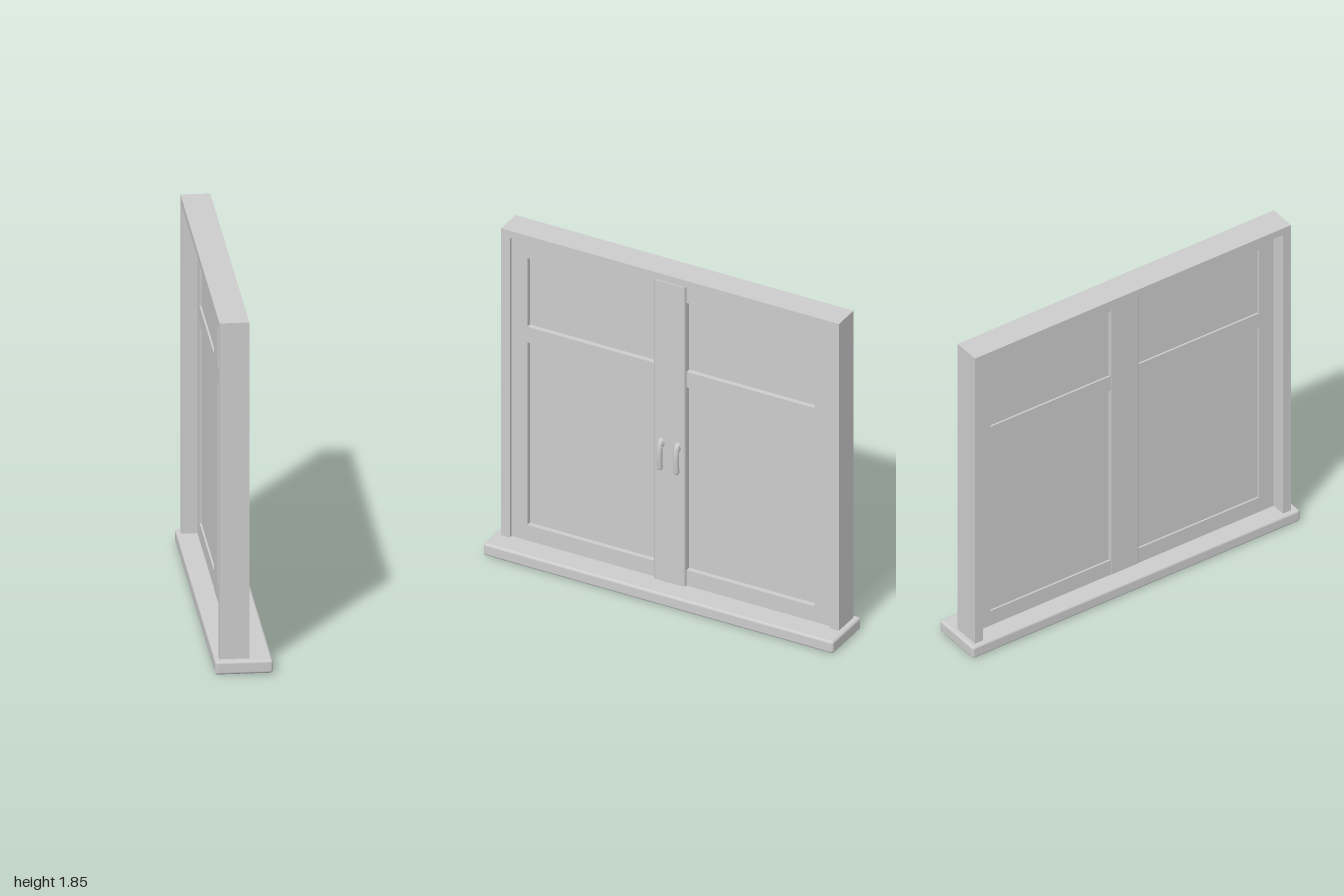
import * as THREE from 'three';
import { RoundedBoxGeometry } from 'three/addons/geometries/RoundedBoxGeometry.js';

const material = new THREE.MeshStandardMaterial({ color: 0xcccccc });

function add(parent, name, geometry) {
  const mesh = new THREE.Mesh(geometry, material);
  mesh.name = name;
  parent.add(mesh);
  return mesh;
}

// Rectangle outline from [zMin, zMax, yMin, yMax]
function rectangle([z0, z1, y0, y1], Type) {
  const path = new Type();
  path.moveTo(-z1, y0);
  path.lineTo(-z0, y0);
  path.lineTo(-z0, y1);
  path.lineTo(-z1, y1);
  path.closePath();
  return path;
}

// Upright slab facing +x with rectangular openings
function slab(outer, holes, x0, x1) {
  const shape = rectangle(outer, THREE.Shape);
  shape.holes = holes.map((h) => rectangle(h, THREE.Path));
  const geometry = new THREE.ExtrudeGeometry(shape, { depth: x1 - x0, bevelEnabled: false });
  return geometry.rotateY(Math.PI / 2).translate(x0, 0, 0);
}

function block([z0, z1, y0, y1], x0, x1, radius) {
  return new RoundedBoxGeometry(x1 - x0, y1 - y0, z1 - z0, 3, radius)
    .translate((x0 + x1) / 2, (y0 + y1) / 2, (z0 + z1) / 2);
}

function createHandle() {
  const handle = new THREE.Group();
  const curve = new THREE.CatmullRomCurve3([
    new THREE.Vector3(0.015, 0.875, 0),
    new THREE.Vector3(0.036, 0.878, 0),
    new THREE.Vector3(0.048, 0.845, 0),
    new THREE.Vector3(0.05, 0.79, 0),
    new THREE.Vector3(0.045, 0.735, 0),
  ]);
  add(handle, 'handleGrip', new THREE.TubeGeometry(curve, 24, 0.015, 12));
  add(handle, 'handleTip', new THREE.SphereGeometry(0.015, 12, 8)).position.set(0.045, 0.735, 0);
  // Flat mounting plate behind the grip
  const plate = add(handle, 'handlePlate', new THREE.SphereGeometry(0.019, 16, 10));
  plate.position.set(0.03, 0.872, 0);
  plate.scale.set(0.5, 1.3, 1);
  return handle;
}

export function createModel() {
  const model = new THREE.Group();
  model.name = 'window';

  // Sill with softened edges
  add(model, 'sill', block([-1, 1, 0, 0.07], -0.145, 0.145, 0.014));

  // Deep outer frame
  add(model, 'outerFrame', slab([-0.97, 0.96, 0.06, 1.85], [[-0.92, 0.91, 0.07, 1.81]], -0.12, 0.03));

  // Two mirrored casements, each with a small upper and a tall lower pane
  for (const side of [1, -1]) {
    const span = (a, b, y0, y1) => (side > 0 ? [a, b, y0, y1] : [-b, -a, y0, y1]);
    const casement = new THREE.Group();
    casement.name = side > 0 ? 'leftCasement' : 'rightCasement';
    const panes = [span(0.085, 0.82, 0.16, 1.22), span(0.085, 0.82, 1.31, 1.71)];
    add(casement, 'sash', slab(span(0.04, 0.915, 0.065, 1.815), panes, -0.04, 0.012));
    panes.forEach((p, i) => add(casement, i ? 'upperPane' : 'lowerPane', slab(p, [], -0.03, -0.015)));

    const handle = createHandle();
    handle.name = 'handle';
    handle.position.z = side * 0.0475 - 0.003;
    casement.add(handle);
    model.add(casement);
  }

  // Centre post covering the joint
  add(model, 'centrePost', block([-0.09, 0.09, 0.06, 1.815], -0.042, 0.03, 0.012));
  return model;
}
